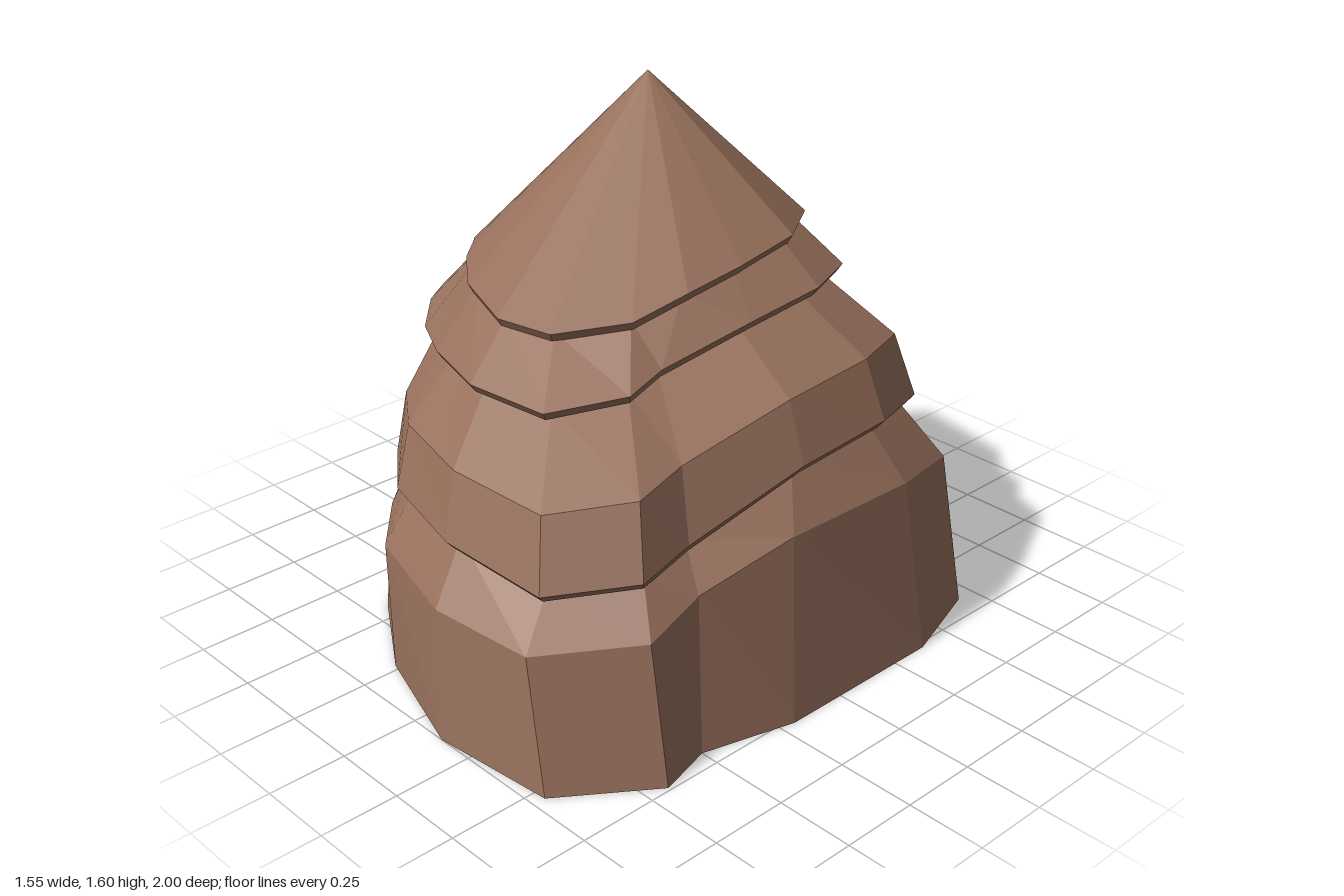
import * as THREE from 'three';

const thatch = new THREE.MeshStandardMaterial({ color: 0x97705c, side: THREE.DoubleSide });
thatch.name = 'brown thatch';

// Cross-sections [x, y, z], all running from the back door jamb round to the front one;
// the last columns of the eaves bridge the doorway.
const ground = [
  [-0.4, 0, -0.9], [-0.2, 0, -1], [0.33, 0, -0.87], [0.67, 0, -0.68], [0.77, 0, -0.38],
  [0.77, 0, 0.2], [0.69, 0, 0.5], [0.74, 0, 0.68], [0.54, 0, 0.96], [0.13, 0, 1],
  [-0.27, 0, 0.87], [-0.57, 0, 0.68], [-0.76, 0, 0.42], [-0.76, 0, 0.24], [-0.67, 0, 0.04],
  [-0.53, 0, -0.115], [-0.53, 0, -0.22],
];
const wallBend = [
  [-0.41, 0.45, -0.84], [-0.24, 0.46, -0.92], [0.28, 0.46, -0.82], [0.6, 0.51, -0.64], [0.68, 0.55, -0.36],
  [0.67, 0.55, 0.12], [0.63, 0.48, 0.46], [0.65, 0.42, 0.66], [0.44, 0.4, 0.93], [0.08, 0.4, 0.96],
  [-0.31, 0.4, 0.85], [-0.55, 0.37, 0.65], [-0.775, 0.36, 0.41], [-0.775, 0.36, 0.23], [-0.68, 0.37, 0.03],
  [-0.57, 0.38, -0.12], [-0.57, 0.38, -0.2],
];
const lowEave = [
  [-0.43, 0.65, -0.78], [-0.28, 0.66, -0.855], [0.22, 0.63, -0.76], [0.51, 0.71, -0.59], [0.61, 0.745, -0.33],
  [0.61, 0.72, 0.02], [0.56, 0.6, 0.43], [0.6, 0.58, 0.64], [0.42, 0.55, 0.86], [0.05, 0.58, 0.89],
  [-0.3, 0.58, 0.8], [-0.56, 0.54, 0.61], [-0.73, 0.55, 0.38], [-0.73, 0.55, 0.22], [-0.64, 0.54, 0.04],
  [-0.54, 0.57, -0.12], [-0.52, 0.6, -0.22],
  [-0.5, 0.75, -0.32], [-0.48, 0.8, -0.47], [-0.46, 0.75, -0.62],
];
const midEave = [
  [-0.44, 1, -0.72], [-0.35, 1, -0.765], [-0.02, 1.01, -0.69], [0.22, 1.07, -0.56], [0.33, 1.09, -0.33],
  [0.34, 1.07, -0.03], [0.29, 1, 0.28], [0.31, 0.97, 0.42], [0.18, 0.94, 0.63], [-0.1, 0.945, 0.665],
  [-0.37, 0.935, 0.58], [-0.6, 0.9, 0.45], [-0.74, 0.91, 0.32], [-0.78, 0.925, 0.24], [-0.76, 0.91, 0.07],
  [-0.7, 0.93, -0.09], [-0.62, 0.96, -0.17],
  [-0.6, 0.985, -0.27], [-0.63, 0.98, -0.37], [-0.57, 0.98, -0.56],
];
const topEave = [
  [-0.52, 1.11, -0.6], [-0.4, 1.13, -0.67], [-0.23, 1.14, -0.69], [0, 1.17, -0.62], [0.19, 1.21, -0.36],
  [0.23, 1.195, -0.1], [0.23, 1.17, 0.12], [0.19, 1.12, 0.3], [0.04, 1.09, 0.48], [-0.16, 1.085, 0.51],
  [-0.4, 1.1, 0.43], [-0.57, 1.1, 0.3], [-0.66, 1.1, 0.2], [-0.72, 1.08, 0.15], [-0.68, 1.09, 0.07],
  [-0.63, 1.1, 0], [-0.59, 1.1, -0.08],
  [-0.56, 1.1, -0.27], [-0.59, 1.1, -0.42], [-0.57, 1.1, -0.52],
];

// Ring shrunk towards its own middle and lowered
function inset(ring, scale, drop) {
  const cx = ring.reduce((s, p) => s + p[0], 0) / ring.length;
  const cz = ring.reduce((s, p) => s + p[2], 0) / ring.length;
  return ring.map(([x, y, z]) => [cx + (x - cx) * scale, y - drop, cz + (z - cz) * scale]);
}
const lip = (ring) => inset(ring, 0.97, 0.03);
const underside = (ring) => inset(ring, 0.93, 0.012);

// Ring between two others, with separate sideways and upward amounts
const between = (a, b, side, up) => a.map(([x, y, z], i) => [
  x + (b[i][0] - x) * side, y + (b[i][1] - y) * up, z + (b[i][2] - z) * side]);

// All columns of a ring gathered in one point
const peak = (ring, height) => ring.map(() => [-0.42, height, -0.33]);

// Faceted skin through rings listed from bottom to top
function shell(name, rings, closed) {
  const pos = [];
  for (let r = 0; r < rings.length - 1; r++) {
    const lo = rings[r], hi = rings[r + 1], n = lo.length;
    for (let i = 0; i < (closed ? n : n - 1); i++) {
      const j = (i + 1) % n;
      pos.push(...lo[i], ...hi[i], ...hi[j]);
      pos.push(...lo[i], ...hi[j], ...lo[j]);
    }
  }
  const geo = new THREE.BufferGeometry();
  geo.setAttribute('position', new THREE.Float32BufferAttribute(pos, 3));
  geo.computeVertexNormals();
  const mesh = new THREE.Mesh(geo, thatch);
  mesh.name = name;
  return mesh;
}

export function createModel() {
  const hut = new THREE.Group();
  hut.name = 'thatched hut';

  // Lower wall, open at the doorway
  const wallTop = underside(lowEave);
  hut.add(shell('lowerWall', [ground, wallBend, wallTop.slice(0, ground.length)], false));

  // Inner roof that rises from the wall and arches over the doorway
  hut.add(shell('innerRoof', [wallTop, peak(wallTop, 1.42)], true));

  // Shouldered tier, stopping at both sides of the doorway
  const tierTop = inset(midEave, 0.89, 0.02);
  const shoulder = between(lowEave, tierTop, 0.22, 0.55);
  const tierRings = [wallTop, lip(lowEave), lowEave, shoulder, tierTop];
  hut.add(shell('shoulderTier', tierRings.map((ring) => ring.slice(0, 16)), false));

  // Upper skirt
  hut.add(shell('upperSkirt', [tierTop, lip(midEave), midEave, underside(topEave)], true));

  // Leaning pointed cap
  hut.add(shell('pointedCap', [underside(topEave), lip(topEave), topEave, peak(topEave, 1.6)], true));

  return hut;
}
